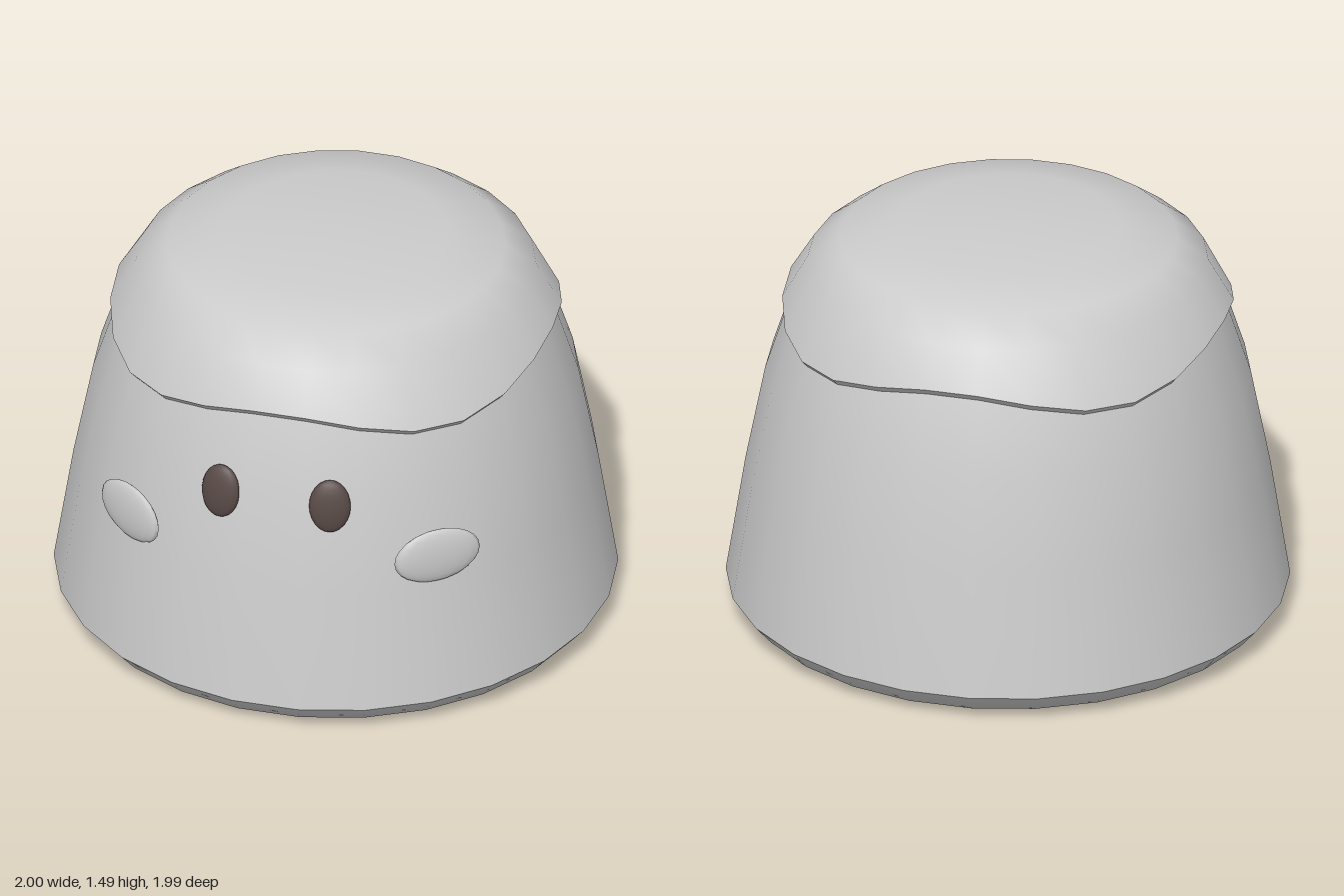
import * as THREE from 'three';
import { mergeVertices } from 'three/addons/utils/BufferGeometryUtils.js';

const SIDES = 26;
const grey = new THREE.MeshStandardMaterial({ color: 0xcccccc, side: THREE.DoubleSide });
const brown = new THREE.MeshStandardMaterial({ color: 0x574946 });

// Smooth ring of revolution from [radius, height] points, listed bottom to top.
// wavyRows: how many of the lowest rows follow the scalloped hem.
function turned(name, profile, wavyRows = 0) {
  const points = profile.map(([r, y]) => new THREE.Vector2(r, y));
  let geometry = new THREE.LatheGeometry(points, SIDES, Math.PI / 2);
  const p = geometry.attributes.position;
  for (let i = 0; i < p.count; i++) {
    if (i % points.length >= wavyRows) continue;
    const x = p.getX(i), z = p.getZ(i);
    const drop = 0.0425 * (1 - Math.cos(4 * Math.atan2(z, x)));
    const widen = 1 + (drop * 0.27) / Math.hypot(x, z);
    p.setXYZ(i, x * widen, p.getY(i) - drop, z * widen);
  }
  // Weld the seam so shading runs on without a break
  geometry.deleteAttribute('uv');
  geometry.deleteAttribute('normal');
  geometry = mergeVertices(geometry, 1e-4);
  geometry.computeVertexNormals();
  const mesh = new THREE.Mesh(geometry, grey);
  mesh.name = name;
  return mesh;
}

// Flattened ball lying on the wall, turned outwards and leaning with the slope
function button(name, material, position, radii, yaw, lean) {
  const mesh = new THREE.Mesh(new THREE.SphereGeometry(1, 16, 12), material);
  mesh.name = name;
  mesh.position.set(...position);
  mesh.scale.set(...radii);
  mesh.rotation.set(-lean, yaw, 0, 'YXZ');
  return mesh;
}

export function createModel() {
  const model = new THREE.Group();
  model.name = 'figure';

  // Rounded base and tapering wall, with a crease between them
  model.add(turned('base', [[0, 0], [0.78, 0.005], [0.94, 0.035], [1, 0.105]]));
  model.add(turned('bodyWall', [
    [1, 0.105], [0.93, 0.55], [0.86, 0.91], [0.775, 1.175], [0.74, 1.25],
  ]));

  // Domed cap with a scalloped hem and a thin slanted underside
  const hem = [0.795, 1.21];
  model.add(turned('cap', [
    hem, [0.71, 1.35], [0.6, 1.435], [0.4, 1.48], [0, 1.493],
  ], 1));
  model.add(turned('capLip', [[0.765, 1.175], hem], 2));

  // Eyes and cheeks, mirrored
  for (const [side, s] of [['left', 1], ['right', -1]]) {
    model.add(button(side + 'Eye', brown, [s * 0.2, 0.885, 0.842], [0.074, 0.1, 0.028], s * 0.22, 0.17));
    model.add(button(side + 'Cheek', grey, [s * 0.562, 0.665, 0.725], [0.164, 0.103, 0.025], s * 0.655, 0.06));
  }
  return model;
}
